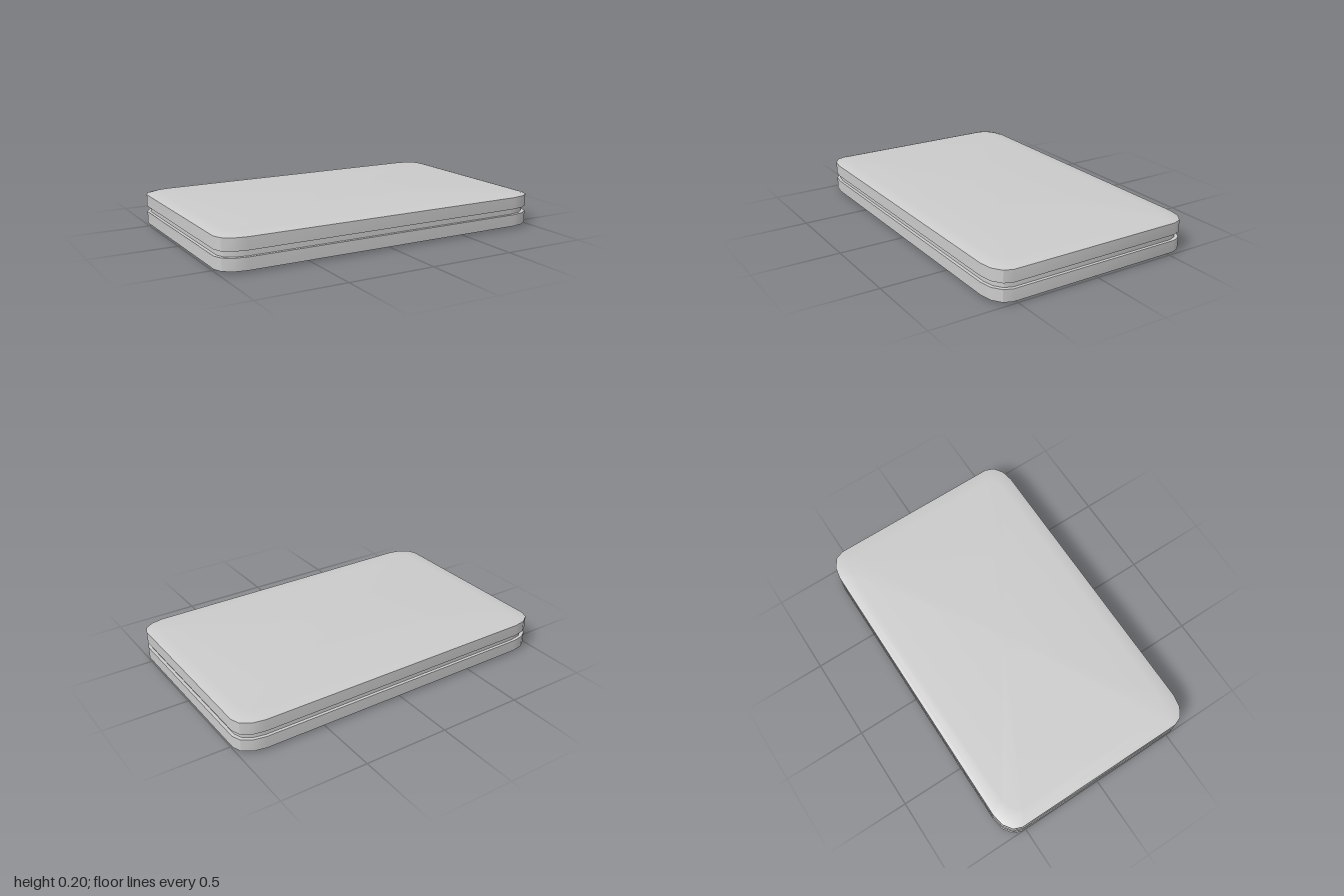
import * as THREE from 'three';
import { toCreasedNormals } from 'three/addons/utils/BufferGeometryUtils.js';

const HALF_X = 1, HALF_Z = 0.625, CORNER_X = 0.145, CORNER_Z = 0.1, STEPS = 3;

// Rectangle outline with elliptical corners, pulled in by an inset
function outline(inset) {
  const points = [];
  const hx = HALF_X - inset, hz = HALF_Z - inset;
  const rx = CORNER_X - inset * 0.6, rz = CORNER_Z - inset * 0.4;
  for (let q = 0; q < 4; q++) {
    const sx = q === 0 || q === 3 ? 1 : -1, sz = q < 2 ? 1 : -1;
    for (let i = 0; i <= STEPS; i++) {
      const a = (q + i / STEPS) * Math.PI / 2;
      points.push([sx * (hx - rx) + rx * Math.cos(a), sz * (hz - rz) + rz * Math.sin(a)]);
    }
  }
  return points;
}

// Closed solid through stacked outlines; profile entries are [inset, y], bottom to top
function slab(name, profile, material) {
  const positions = [], indices = [];
  const n = 4 * (STEPS + 1);
  for (const [inset, y] of profile) {
    for (const [x, z] of outline(inset)) positions.push(x, y, z);
  }
  for (let r = 0; r < profile.length - 1; r++) {
    for (let i = 0; i < n; i++) {
      const a = r * n + i, b = r * n + (i + 1) % n;
      indices.push(a, a + n, b, b, a + n, b + n);
    }
  }
  const top = (profile.length - 1) * n;
  const low = positions.length / 3, high = low + 1;
  positions.push(0, profile[0][1], 0, 0, profile[profile.length - 1][1], 0);
  for (let i = 0; i < n; i++) {
    const j = (i + 1) % n;
    indices.push(low, i, j, high, top + j, top + i);
  }
  const geometry = new THREE.BufferGeometry();
  geometry.setAttribute('position', new THREE.Float32BufferAttribute(positions, 3));
  geometry.setIndex(indices);
  const mesh = new THREE.Mesh(toCreasedNormals(geometry, 0.45), material);
  mesh.name = name;
  return mesh;
}

export function createModel() {
  const group = new THREE.Group();
  group.name = 'flatCase';
  const material = new THREE.MeshStandardMaterial({ color: 0xcccccc });

  // Shell with a softly domed outer face, mirrored for the base
  const lid = [[0, 0.117], [0, 0.187], [0.03, 0.196], [0.08, 0.2]];
  const base = lid.map(([inset, y]) => [inset, 0.2 - y]).reverse();
  group.add(slab('lid', lid, material));
  group.add(slab('base', base, material));

  // Recessed band between the two shells
  group.add(slab('seamBand', [[0.018, 0.08], [0.018, 0.12]], material));
  return group;
}
